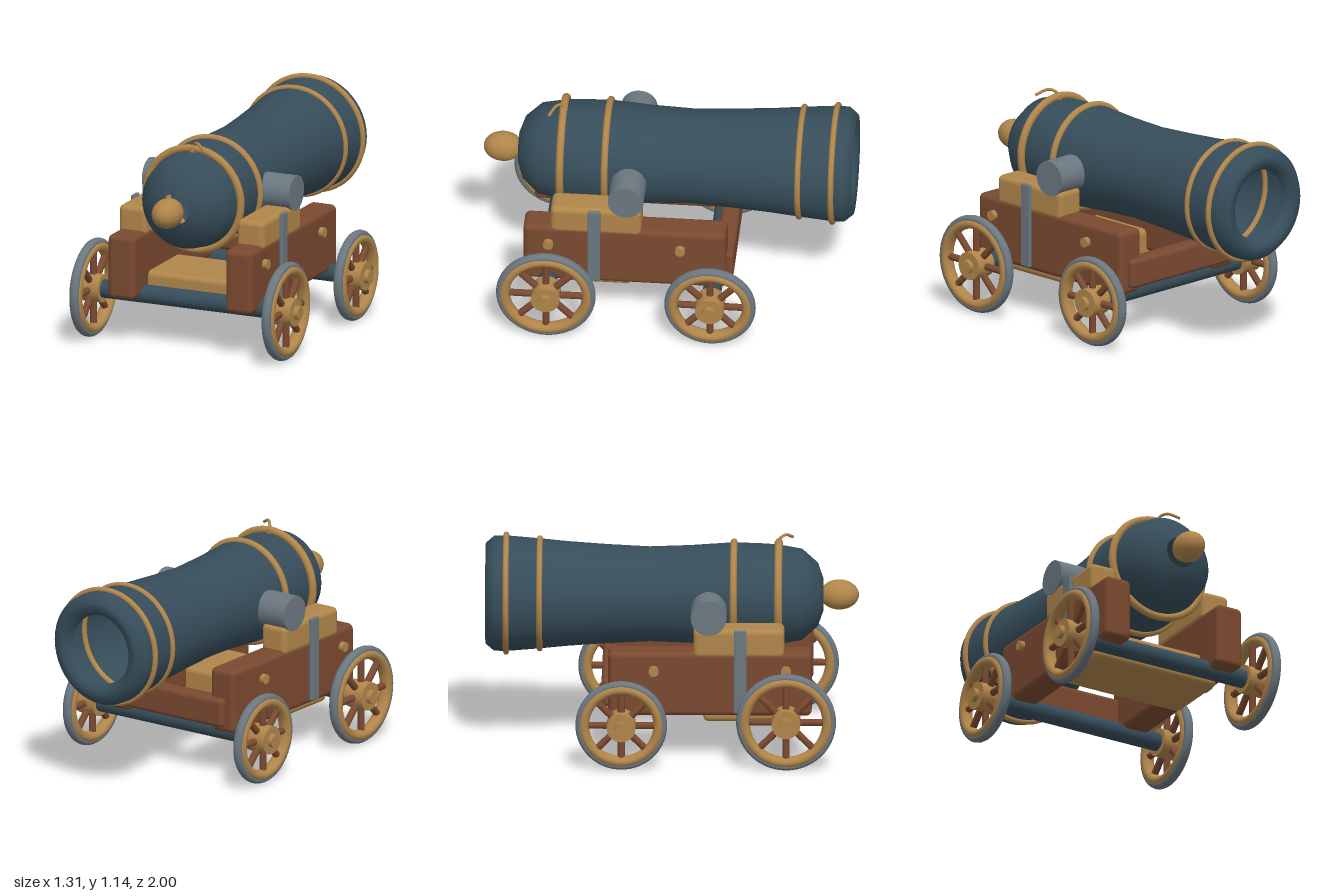
import * as THREE from 'three';
import { RoundedBoxGeometry } from 'three/addons/geometries/RoundedBoxGeometry.js';

const mat = (name, color, side = THREE.FrontSide) => {
  const m = new THREE.MeshStandardMaterial({ color, side });
  m.name = name;
  return m;
};

export function createModel() {
  const iron = mat('dark iron', 0x364d5a, THREE.DoubleSide);
  const brass = mat('brass', 0xb0854a);
  const wood = mat('red brown wood', 0x7a4930);
  const steel = mat('grey steel', 0x6b7780);

  const model = new THREE.Group();
  model.name = 'cannon';

  const add = (parent, name, geometry, material, x = 0, y = 0, z = 0) => {
    const mesh = new THREE.Mesh(geometry, material);
    mesh.name = name;
    mesh.position.set(x, y, z);
    parent.add(mesh);
    return mesh;
  };
  const box = (w, h, d, r) => new RoundedBoxGeometry(w, h, d, 4, r);
  // Cylinder lying along x
  const rod = (r, length, sides = 32) => new THREE.CylinderGeometry(r, r, length, sides).rotateZ(Math.PI / 2);

  // Barrel: open shell turned around z, from the muzzle lip to the breech
  const axisY = 0.82;
  const profile = [
    [0.19, -0.95], [0.20, -0.975], [0.23, -0.995], [0.27, -1], [0.308, -0.955],
    [0.31, -0.89], [0.295, -0.71], [0.28, -0.555], [0.265, -0.34], [0.254, -0.12],
    [0.262, 0.1], [0.278, 0.33], [0.272, 0.5], [0.265, 0.58], [0.245, 0.695],
    [0.17, 0.78], [0.085, 0.81],
  ].map(([r, z]) => new THREE.Vector2(r, z));
  add(model, 'barrel', new THREE.LatheGeometry(profile, 48).rotateX(Math.PI / 2), iron, 0, axisY, 0);

  // Reinforcing rings: z, radius, thickness
  for (const [z, r, t] of [[0.57, 0.28, 0.021], [0.33, 0.279, 0.019], [-0.71, 0.295, 0.016], [-0.89, 0.314, 0.016]]) {
    add(model, 'barrelRing', new THREE.TorusGeometry(r, t, 12, 64), brass, 0, axisY, z);
  }

  // Breech knob
  const knob = add(model, 'breechKnob', new THREE.SphereGeometry(1, 32, 20), brass, 0, axisY, 0.895);
  knob.scale.set(0.081, 0.081, 0.105);

  // Vent and fuse
  add(model, 'vent', new THREE.CylinderGeometry(0.022, 0.022, 0.03, 20), brass, 0, 1.097, 0.57);
  const fusePath = new THREE.CatmullRomCurve3([
    [0, 1.09, 0.565], [0.01, 1.125, 0.575], [0.04, 1.14, 0.605], [0.1, 1.112, 0.645],
  ].map((p) => new THREE.Vector3(...p)));
  add(model, 'fuse', new THREE.TubeGeometry(fusePath, 20, 0.008, 8), brass);

  // Carriage sides, mirrored
  for (const s of [1, -1]) {
    add(model, 'trunnion', rod(0.096, 0.185), steel, s * 0.3425, 0.81, 0.2);
    add(model, 'cheek', box(0.158, 0.353, 1.09, 0.03), wood, s * 0.348, 0.438, 0.207);
    add(model, 'upperBlock', box(0.162, 0.162, 0.487, 0.03), brass, s * 0.349, 0.664, 0.362);
    add(model, 'strap', box(0.022, 0.46, 0.068, 0.006), steel, s * 0.439, 0.515, 0.37);
    for (const z of [-0.094, 0.615]) {
      add(model, 'bolt', rod(0.027, 0.027, 20), brass, s * 0.453, 0.52, z);
    }
  }

  // Cross members
  add(model, 'transom', box(0.75, 0.16, 0.1, 0.025), wood, 0, 0.375, -0.325);
  add(model, 'bed', box(0.76, 0.17, 0.4, 0.03), brass, 0, 0.3, 0.37);

  // Wheel: rim, tyre, hub and eight spokes, turned around x
  const makeWheel = (radius) => {
    const wheel = new THREE.Group();
    const ring = (r, t, widen) => new THREE.TorusGeometry(r, t, 14, 56).rotateY(Math.PI / 2).scale(widen, 1, 1);
    add(wheel, 'tyre', ring(radius - 0.021, 0.021, 1.25), steel);
    add(wheel, 'rim', ring(radius - 0.045, 0.029, 1.28), brass);
    add(wheel, 'hub', rod(0.077, 0.12), brass);
    add(wheel, 'hubCap', rod(0.037, 0.05, 24), brass, 0.062);
    const length = radius - 0.09;
    for (let i = 0; i < 8; i++) {
      const a = i * Math.PI / 4;
      const spoke = add(wheel, 'spoke', new THREE.CylinderGeometry(0.019, 0.019, length, 12), wood,
        0, Math.cos(a) * (0.04 + length / 2), Math.sin(a) * (0.04 + length / 2));
      spoke.rotation.x = a;
    }
    return wheel;
  };

  // Axles and wheels: name, z, height, wheel radius
  for (const [name, z, y, radius] of [['front', 0.617, 0.273, 0.268], ['rear', -0.266, 0.252, 0.246]]) {
    add(model, name + 'Axle', rod(0.05, 1.08), iron, 0, y, z);
    for (const s of [1, -1]) {
      const wheel = makeWheel(radius);
      wheel.name = name + (s > 0 ? 'LeftWheel' : 'RightWheel');
      wheel.position.set(s * 0.569, y, z);
      if (s < 0) wheel.rotation.y = Math.PI;
      model.add(wheel);
    }
  }

  return model;
}
